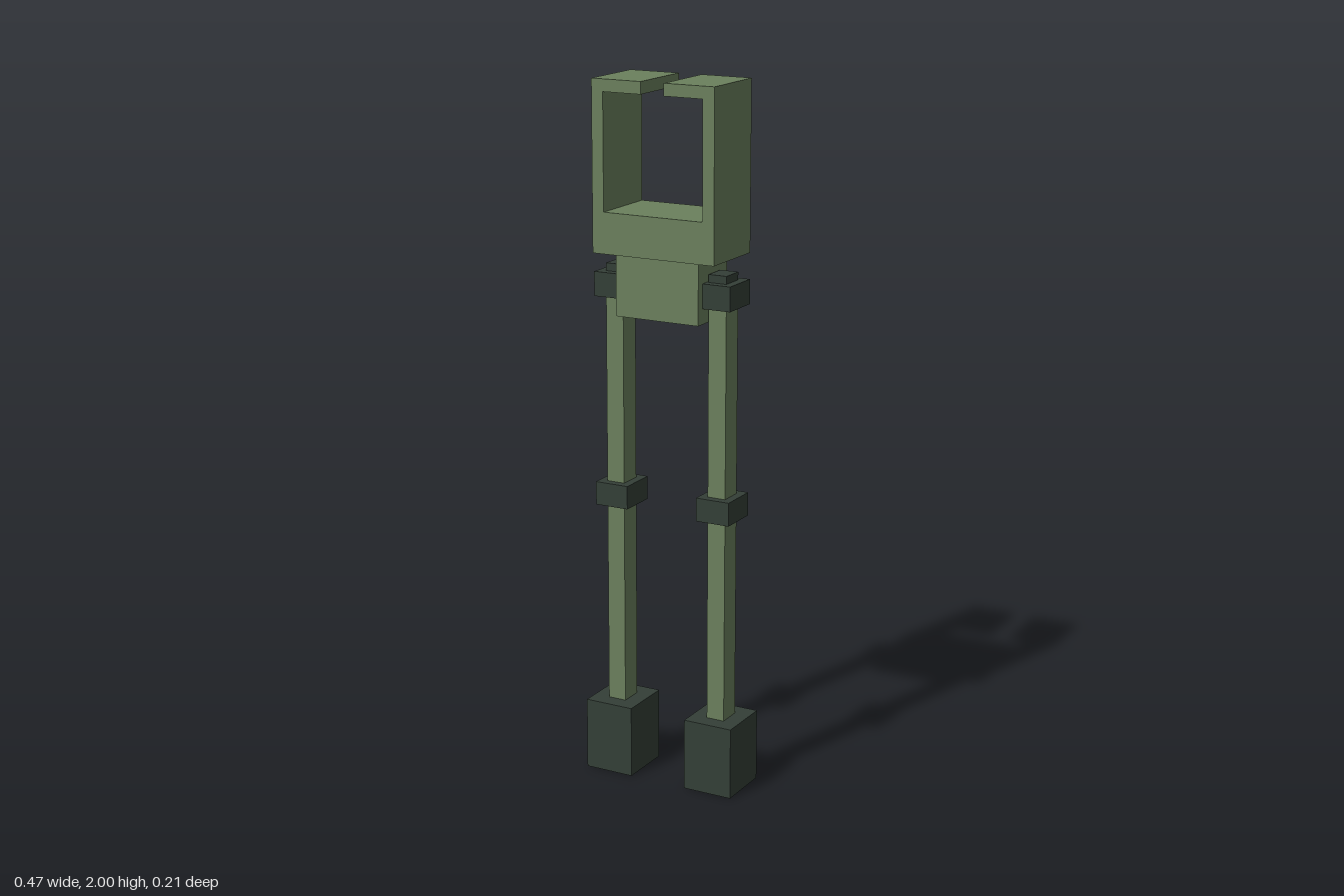
import * as THREE from 'three';

const green = new THREE.MeshStandardMaterial({ color: 0x6b805d });
const dark = new THREE.MeshStandardMaterial({ color: 0x343f37 });

// Box centred on z = 0, spanning y0 to y1
function block(name, material, x, y0, y1, width, depth) {
  const mesh = new THREE.Mesh(new THREE.BoxGeometry(width, y1 - y0, depth), material);
  mesh.name = name;
  mesh.position.set(x, (y0 + y1) / 2, 0);
  return mesh;
}

// Open frame with a slot in its top bar
function makeTorsoFrame() {
  const outer = 0.186, inner = 0.151, slot = 0.035;
  const bottom = 1.527, floor = 1.642, ceiling = 1.966, top = 2;
  const half = [[outer, bottom], [outer, top], [slot, top], [slot, ceiling], [inner, ceiling], [inner, floor]];
  const mirrored = half.map(([x, y]) => [-x, y]).reverse();
  const shape = new THREE.Shape([...half, ...mirrored].map(([x, y]) => new THREE.Vector2(x, y)));
  const depth = 0.21;
  const geometry = new THREE.ExtrudeGeometry(shape, { depth, bevelEnabled: false });
  geometry.translate(0, 0, -depth / 2);
  const mesh = new THREE.Mesh(geometry, green);
  mesh.name = 'torsoFrame';
  return mesh;
}

function makeLeg(name, side) {
  const leg = new THREE.Group();
  leg.name = name;
  leg.position.x = side * 0.16;
  leg.add(
    block('foot', dark, 0, 0, 0.208, 0.147, 0.163),
    block('shin', green, 0, 0.208, 0.795, 0.054, 0.068),
    block('knee', dark, 0, 0.795, 0.862, 0.101, 0.116),
    block('thigh', green, 0, 0.862, 1.396, 0.054, 0.068),
    block('hipJoint', dark, 0, 1.396, 1.465, 0.101, 0.116),
    block('hipCap', dark, 0, 1.465, 1.487, 0.054, 0.068)
  );
  return leg;
}

export function createModel() {
  const model = new THREE.Group();
  model.name = 'walker';
  model.add(
    makeTorsoFrame(),
    block('pelvis', green, 0, 1.353, 1.527, 0.254, 0.163),
    makeLeg('leftLeg', 1),
    makeLeg('rightLeg', -1)
  );
  return model;
}
